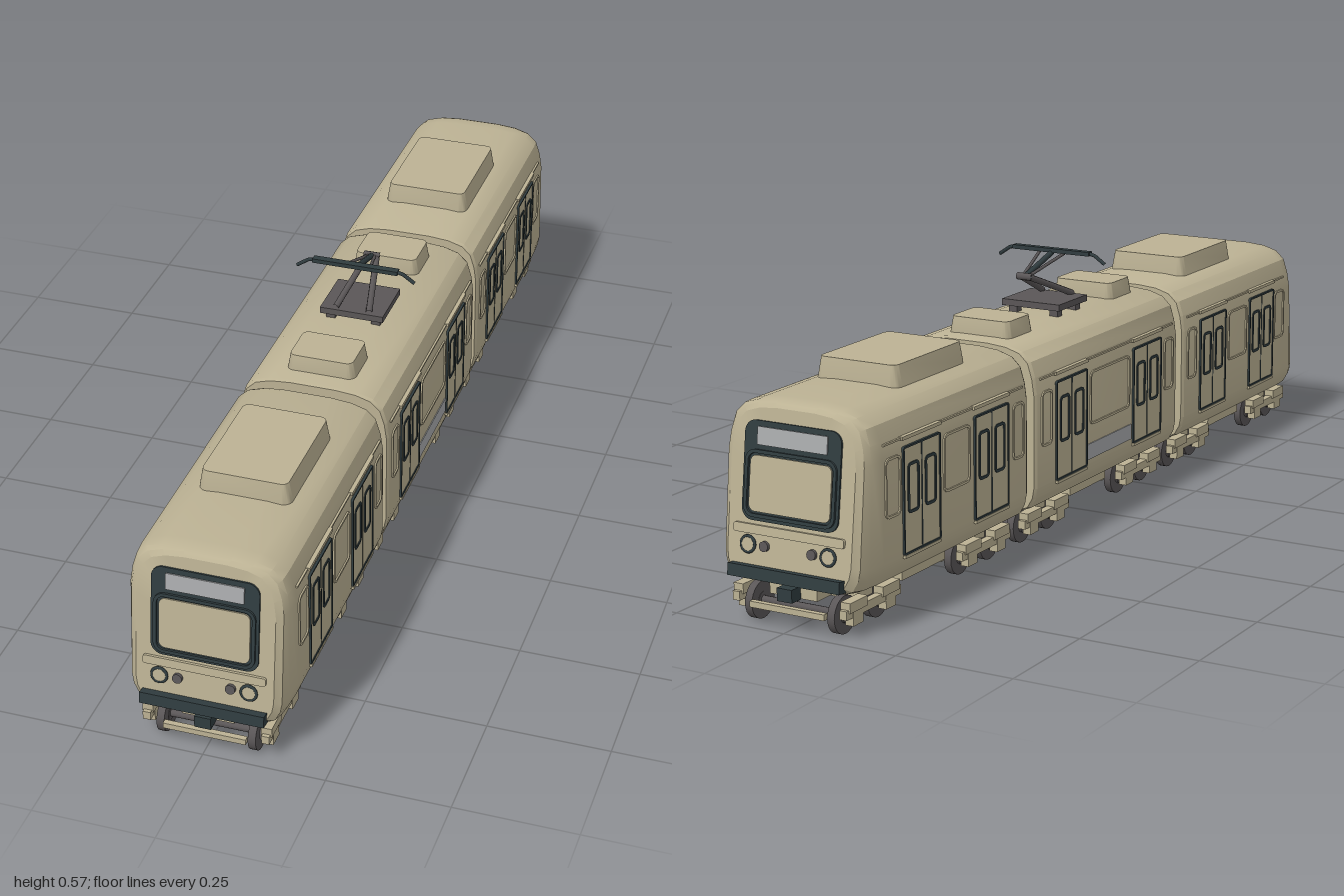
import * as THREE from 'three';
import { toCreasedNormals } from 'three/addons/utils/BufferGeometryUtils.js';

const mat = (name, color) => {
  const m = new THREE.MeshStandardMaterial({ color });
  m.name = name;
  return m;
};

export function createModel() {
  const beige = mat('beige paint', 0xbcb294);
  const dark = mat('dark trim', 0x303c3f);
  const steel = mat('dark steel', 0x5a5657);
  const grey = mat('light grey', 0xa9abad);

  const add = (parent, name, geo, material, x = 0, y = 0, z = 0) => {
    const m = new THREE.Mesh(geo, material);
    m.name = name;
    m.position.set(x, y, z);
    parent.add(m);
    return m;
  };
  const group = (parent, name, x = 0, y = 0, z = 0) => {
    const g = new THREE.Group();
    g.name = name;
    g.position.set(x, y, z);
    parent.add(g);
    return g;
  };
  const box = (w, h, d) => new THREE.BoxGeometry(w, h, d);

  // Rounded rectangle, centred on the origin
  const outline = (w, h, r, Type = THREE.Shape) => {
    const s = new Type(), a = w / 2, b = h / 2, q = Math.PI / 2;
    s.absarc(a - r, b - r, r, 0, q);
    s.absarc(r - a, b - r, r, q, 2 * q);
    s.absarc(r - a, r - b, r, 2 * q, 3 * q);
    s.absarc(a - r, r - b, r, 3 * q, 4 * q);
    s.closePath();
    return s;
  };
  // Thin rounded plate facing +z; rim > 0 cuts it into a frame
  const plate = (w, h, r, t, rim = 0) => {
    const s = outline(w, h, r);
    if (rim) s.holes.push(outline(w - 2 * rim, h - 2 * rim, Math.max(r - rim, 0.001), THREE.Path));
    return new THREE.ExtrudeGeometry(s, { depth: t, bevelEnabled: false, curveSegments: 5 });
  };
  // Round bar through a few points
  const bar = (parent, name, points, r, material) => {
    const path = new THREE.CurvePath();
    const v = points.map((p) => new THREE.Vector3(...p));
    for (let i = 1; i < v.length; i++) path.add(new THREE.LineCurve3(v[i - 1], v[i]));
    add(parent, name, new THREE.TubeGeometry(path, 12, r, 8), material);
  };

  // Body cross-section, right half from bottom to top, then mirrored
  const half = [[0.13, 0.085], [0.147, 0.092], [0.159, 0.113], [0.163, 0.135], [0.163, 0.335],
    [0.158, 0.37], [0.148, 0.402], [0.128, 0.421], [0.095, 0.431], [0.05, 0.435]];
  const section = [...half, ...half.slice().reverse().map(([x, y]) => [-x, y])];
  // Rings are [z, x scale, y scale, backward lean]
  const loft = (rings) => {
    const pos = [], idx = [], n = section.length;
    const point = (x, y, [z, sx, sy, lean = 0]) => {
      const py = 0.25 + (y - 0.25) * sy;
      pos.push(x * sx, py, z - lean * (py - 0.085));
    };
    rings.forEach((ring) => section.forEach(([x, y]) => point(x, y, ring)));
    const last = (rings.length - 1) * n, c0 = rings.length * n;
    point(0, 0.25, rings[0]);
    point(0, 0.25, rings[rings.length - 1]);
    for (let j = 0; j < n; j++) {
      const k = (j + 1) % n;
      for (let i = 0; i < last; i += n) idx.push(i + j, i + k, i + n + k, i + j, i + n + k, i + n + j);
      idx.push(c0, k, j, c0 + 1, last + j, last + k);
    }
    const g = new THREE.BufferGeometry();
    g.setAttribute('position', new THREE.Float32BufferAttribute(pos, 3));
    g.setIndex(idx);
    return toCreasedNormals(g, 0.5);
  };

  // Double sliding door, drawn facing +z
  const door = (parent, u) => {
    const d = group(parent, 'door', u, 0.24, 0);
    add(d, 'doorLeaves', plate(0.13, 0.21, 0.004, 0.003), beige);
    add(d, 'doorFrame', plate(0.134, 0.214, 0.005, 0.005, 0.004), dark);
    add(d, 'doorSeam', box(0.003, 0.206, 0.004), dark, 0, 0, 0.002);
    for (const s of [-1, 1])
      add(d, 'doorWindowFrame', plate(0.041, 0.1, 0.011, 0.005, 0.006), dark, s * 0.031, 0.022, 0);
    add(d, 'doorGutter', box(0.14, 0.007, 0.01), beige, 0, 0.124, 0);
    add(d, 'doorStep', box(0.13, 0.006, 0.012), beige, 0, -0.11, 0);
  };
  const sideWindow = (parent, u, w) =>
    add(parent, 'sideWindowFrame', plate(w, 0.118, Math.min(0.014, w * 0.3), 0.004, 0.005), beige, u, 0.278, 0);
  // Left and right walls; fill draws one wall, with x along the car
  const walls = (parent, fill) => {
    for (const s of [-1, 1]) {
      const w = group(parent, s > 0 ? 'leftWall' : 'rightWall', s * 0.162, 0, 0);
      w.rotation.y = s * Math.PI / 2;
      fill(w, -s);
    }
  };

  // Tapered roof unit
  const roofBox = (parent, z, w, d, top) => {
    const geo = new THREE.ExtrudeGeometry(outline(w - 0.014, d - 0.014, 0.014), {
      depth: top - 0.46, bevelThickness: 0.04, bevelSize: 0.007, bevelSegments: 1, curveSegments: 4 });
    geo.rotateX(-Math.PI / 2);
    add(parent, 'roofUnit', toCreasedNormals(geo, 0.6), beige, 0, 0.42, z);
  };

  // Two-axle bogie
  const wheelGeo = new THREE.CylinderGeometry(0.038, 0.038, 0.016, 24).rotateZ(Math.PI / 2);
  const hubGeo = new THREE.CylinderGeometry(0.016, 0.016, 0.022, 16).rotateZ(Math.PI / 2);
  const axleGeo = new THREE.CylinderGeometry(0.008, 0.008, 0.2, 12).rotateZ(Math.PI / 2);
  const bogie = (parent, z) => {
    const b = group(parent, 'bogie', 0, 0, z);
    add(b, 'bolster', box(0.22, 0.03, 0.05), beige, 0, 0.073, 0);
    for (const e of [-1, 1]) {
      add(b, 'axle', axleGeo, steel, 0, 0.038, e * 0.057);
      add(b, 'endBeam', box(0.17, 0.012, 0.012), beige, 0, 0.042, e * 0.098);
      for (const s of [-1, 1]) {
        add(b, 'wheel', wheelGeo, steel, s * 0.094, 0.038, e * 0.057);
        add(b, 'hub', hubGeo, steel, s * 0.096, 0.038, e * 0.057);
        add(b, 'axleBox', box(0.018, 0.032, 0.034), beige, s * 0.122, 0.04, e * 0.057);
        add(b, 'spring', box(0.022, 0.02, 0.06), beige, s * 0.122, 0.063, e * 0.057);
      }
    }
    for (const s of [-1, 1]) add(b, 'sideFrame', box(0.016, 0.018, 0.19), beige, s * 0.122, 0.05, 0);
  };

  // Cab face, on a plane leaning back
  const cabFace = (parent) => {
    const f = group(parent, 'cabFace', 0, 0.085, 0.985);
    f.rotation.x = -Math.atan(0.12);
    const put = (name, geo, m, x, y, z) => add(f, name, geo, m, x, (y - 0.085) * 1.007, z);
    put('windscreenSurround', plate(0.218, 0.192, 0.024, 0.004), dark, 0, 0.3, 0);
    put('windscreenFrame', plate(0.206, 0.13, 0.022, 0.009, 0.007), dark, 0, 0.276, 0);
    put('windscreen', plate(0.184, 0.108, 0.014, 0.007), beige, 0, 0.276, 0);
    put('destinationPanel', plate(0.158, 0.035, 0.002, 0.007), grey, 0, 0.367, 0);
    put('noseTrim', plate(0.25, 0.018, 0.005, 0.006), beige, 0, 0.188, 0);
    put('bumper', box(0.254, 0.024, 0.024), dark, 0, 0.107, 0.005);
    const lamp = (r, d) => new THREE.CylinderGeometry(r, r, d, 24).rotateX(Math.PI / 2);
    for (const s of [-1, 1]) {
      put('headlightRing', new THREE.TorusGeometry(0.0155, 0.003, 8, 24), dark, s * 0.091, 0.158, 0.004);
      put('headlight', lamp(0.0145, 0.012), beige, s * 0.091, 0.158, 0);
      put('markerLamp', lamp(0.01, 0.014), steel, s * 0.054, 0.158, 0);
    }
  };

  // End car with its cab at +z
  const endCar = (parent, name) => {
    const c = group(parent, name);
    add(c, 'carBody', loft([[0.352, 0.975, 0.985], [0.36, 1, 1], [0.9, 1, 1], [0.945, 0.985, 0.995, 0.05],
      [0.972, 0.94, 0.975, 0.1], [0.985, 0.86, 0.93, 0.12]]), beige);
    cabFace(c);
    walls(c, (w, s) => {
      for (const z of [0.766, 0.503]) door(w, s * z);
      for (const [z, width] of [[0.635, 0.1], [0.395, 0.045], [0.867, 0.055]]) sideWindow(w, s * z, width);
      add(w, 'gutter', box(0.52, 0.004, 0.006), beige, s * 0.635, 0.364, -0.002);
    });
    roofBox(c, 0.611, 0.19, 0.262, 0.475);
    for (const z of [0.885, 0.465]) bogie(c, z);
    add(c, 'underfloorBox', box(0.22, 0.036, 0.16), beige, 0, 0.071, 0.675);
    add(c, 'couplerMount', box(0.108, 0.024, 0.05), beige, 0, 0.074, 0.94);
    add(c, 'coupler', box(0.034, 0.026, 0.06), dark, 0, 0.074, 0.965);
    // Joint to the middle car
    add(c, 'gangway', loft([[0.31, 0.8, 0.86], [0.362, 0.8, 0.86]]), beige);
    add(c, 'drawbar', box(0.034, 0.016, 0.1), dark, 0, 0.074, 0.34);
    return c;
  };

  const tram = new THREE.Group();
  tram.name = 'tram';
  endCar(tram, 'frontCar');
  endCar(tram, 'rearCar').rotation.y = Math.PI;

  // Middle car
  const middle = group(tram, 'middleCar');
  add(middle, 'carBody', loft([[-0.323, 0.975, 0.985], [-0.315, 1, 1], [0.315, 1, 1], [0.323, 0.975, 0.985]]), beige);
  walls(middle, (w) => {
    for (const u of [-0.172, 0.172]) door(w, u);
    for (const u of [-0.277, 0.277]) sideWindow(w, u, 0.045);
    sideWindow(w, 0, 0.18);
    add(w, 'greyPanel', plate(0.2, 0.034, 0.002, 0.003), grey, 0, 0.162, 0);
    add(w, 'gutter', box(0.6, 0.004, 0.006), beige, 0, 0.364, -0.002);
  });
  for (const s of [-1, 1]) {
    roofBox(middle, s * 0.224, 0.15, 0.112, 0.468);
    bogie(middle, s * 0.215);
  }
  add(middle, 'underfloorBox', box(0.22, 0.036, 0.16), beige, 0, 0.071, 0);

  // Pantograph: base, folding arms and contact head
  const panto = group(tram, 'pantograph');
  add(panto, 'pantographBase', box(0.14, 0.014, 0.125), steel, 0, 0.457, 0.005);
  for (const s of [-1, 1]) {
    for (const z of [-0.035, 0.045]) add(panto, 'insulator', box(0.02, 0.022, 0.02), steel, s * 0.05, 0.442, z);
    bar(panto, 'lowerArm', [[s * 0.037, 0.466, 0.06], [s * 0.01, 0.523, -0.08]], 0.007, steel);
    bar(panto, 'upperArm', [[s * 0.006, 0.523, -0.08], [s * 0.03, 0.556, 0.036]], 0.0035, steel);
    bar(panto, 'headHorn', [[s * 0.092, 0.561, 0.037], [s * 0.105, 0.558, 0.037], [s * 0.13, 0.541, 0.037]], 0.004, dark);
  }
  bar(panto, 'knee', [[-0.018, 0.523, -0.08], [0.018, 0.523, -0.08]], 0.008, steel);
  bar(panto, 'mainUpperArm', [[0, 0.523, -0.08], [0, 0.556, 0.036]], 0.006, dark);
  add(panto, 'contactStrip', box(0.188, 0.009, 0.016), dark, 0, 0.561, 0.037);
  return tram;
}
